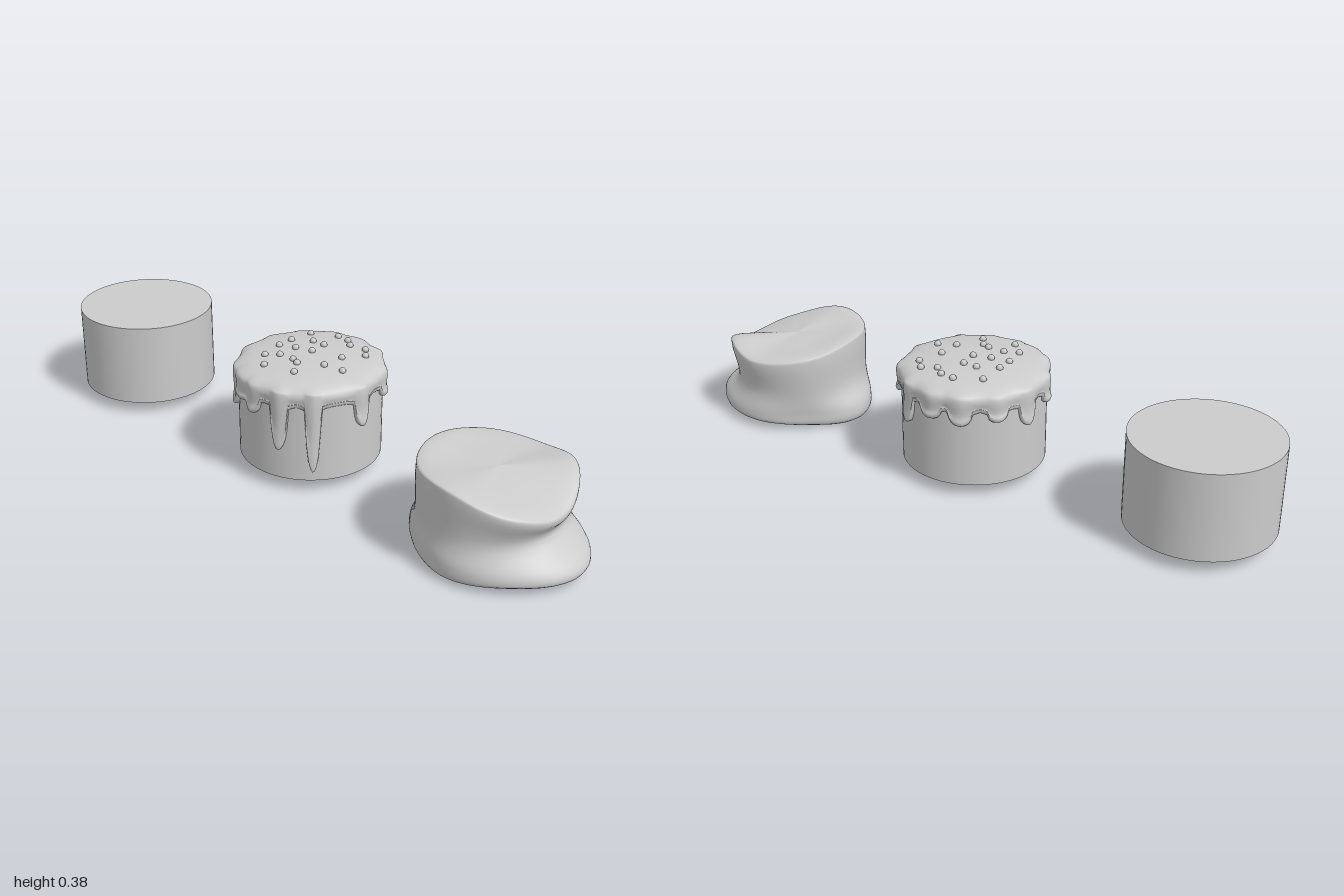
import * as THREE from 'three';

const material = new THREE.MeshStandardMaterial({ color: 0xcccccc });
const CAKE_R = 0.224, CAKE_Z = -0.025;
const rad = THREE.MathUtils.degToRad, lerp = THREE.MathUtils.lerp;

function addMesh(parent, name, geometry, x = 0, y = 0, z = 0) {
  const mesh = new THREE.Mesh(geometry, material);
  mesh.name = name;
  mesh.position.set(x, y, z);
  parent.add(mesh);
  return mesh;
}

// Catmull-Rom value of a list at position u; closed lists wrap round
function spline(list, u, closed = false) {
  const n = list.length, i = Math.floor(u), t = u - i;
  const p = k => list[closed ? ((k % n) + n) % n : Math.min(n - 1, Math.max(0, k))];
  const [a, b, c, d] = [p(i - 1), p(i), p(i + 1), p(i + 2)];
  return b + 0.5 * t * (c - a + t * (2 * a - 5 * b + 4 * c - d + t * (3 * (b - c) + d - a)));
}
// Eight values spaced round the circle: front, then towards +x
const around = (list, a) => spline(list, a / (Math.PI / 4), true);

// Lathe-like skin whose [radius, height] profile changes with the angle
function polarSkin(segments, steps, profileAt) {
  const positions = [], indices = [];
  let rows = 0;
  for (let i = 0; i < segments; i++) {
    const a = (i / segments) * Math.PI * 2;
    const profile = profileAt(a);
    const rs = profile.map(p => p[0]), ys = profile.map(p => p[1]);
    rows = (profile.length - 1) * steps;
    for (let j = 0; j <= rows; j++) {
      const r = Math.max(0, spline(rs, j / steps)), y = spline(ys, j / steps);
      positions.push(r * Math.sin(a), y, r * Math.cos(a));
    }
  }
  const at = (i, j) => (i % segments) * (rows + 1) + j;
  for (let i = 0; i < segments; i++) {
    for (let j = 0; j < rows; j++) {
      indices.push(at(i, j), at(i, j + 1), at(i + 1, j + 1));
      indices.push(at(i, j), at(i + 1, j + 1), at(i + 1, j));
    }
  }
  const geometry = new THREE.BufferGeometry();
  geometry.setAttribute('position', new THREE.Float32BufferAttribute(positions, 3));
  geometry.setIndex(indices);
  geometry.computeVertexNormals();
  return geometry;
}

function cakeBase() {
  return new THREE.CylinderGeometry(CAKE_R, CAKE_R, 0.272, 64);
}

// Icing drips: angle in degrees, lowest height, half width in degrees
const DRIPS = [
  [-43, 0.2, 11], [-25, 0.255, 14], [-7, 0.235, 8], [18, 0.14, 7], [44, 0.075, 6],
  [84, 0.2, 7], [119, 0.245, 9], [153, 0.2, 7], [178, 0.25, 9], [-158, 0.24, 9],
  [-130, 0.25, 8], [-104, 0.215, 8], [-75, 0.245, 9],
];

function icingProfile(a) {
  let bottom = 0.288 + 0.01 * Math.sin(3 * a - rad(120)), bulge = 0;
  for (const [angle, low, width] of DRIPS) {
    const d = Math.atan2(Math.sin(a - rad(angle)), Math.cos(a - rad(angle)));
    const u = Math.abs(d) / rad(width);
    const flare = 0.285 - 0.02 * Math.exp(-u * u * 0.7);
    const round = u < 1 ? Math.sqrt(1 - u * u) : 0;
    bottom = Math.min(bottom, flare, lerp(flare, low, round));
    bulge = Math.max(bulge, Math.exp(-u * u * 1.2));
  }
  const r = CAKE_R + 0.006 + 0.01 * bulge;
  return [
    [0, 0.364], [0.1, 0.361], [0.185, 0.35], [r - 0.011, 0.336], [r, 0.318],
    [r - 0.002, lerp(0.318, bottom, 0.55)],
    [r + 0.003 * bulge, bottom + 0.014], [r - 0.004, bottom + 0.002], [0.214, bottom + 0.006],
  ];
}

// Sprinkle positions (x, z) on the icing
const SPRINKLES = [
  [-.035, -.18], [.01, -.175], [.04, -.15], [.09, -.165], [.12, -.13], [-.115, -.14], [-.06, -.09],
  [-.015, -.09], [-.12, -.055], [-.12, 0], [-.065, -.015], [-.01, -.03], [.085, -.06], [.14, 0],
  [.08, .015], [-.015, .05], [.01, .06], [-.11, .075], [-.07, .05], [-.065, .125], [.04, .105],
];

// Squashed cake: radii and heights at eight angles
const RIM_R = [0.23, 0.232, 0.222, 0.222, 0.228, 0.232, 0.222, 0.228];
const WAIST_R = [0.225, 0.208, 0.2, 0.205, 0.216, 0.222, 0.222, 0.225];
const FOOT_R = [0.24, 0.25, 0.282, 0.25, 0.232, 0.215, 0.255, 0.232];
const RIM_Y = [0.28, 0.235, 0.21, 0.265, 0.245, 0.26, 0.28, 0.277];
const FOOT_Y = [0.008, 0.02, 0.018, 0.02, 0.02, 0.01, 0.002, 0.015];

function squashedProfile(a) {
  const top = around(RIM_R, a), waist = around(WAIST_R, a), foot = around(FOOT_R, a);
  const rim = around(RIM_Y, a), base = around(FOOT_Y, a);
  return [
    [0, 0.262], [top * 0.5, lerp(0.262, rim, 0.4)], [top * 0.93, rim], [top, rim - 0.025],
    [waist, 0.13], [foot, 0.055], [foot * 0.94, base], [foot * 0.5, lerp(base, 0.02, 0.5)], [0, 0.02],
  ];
}

export function createModel() {
  const model = new THREE.Group();
  model.name = 'cakes';

  // Plain cake
  addMesh(model, 'plainCake', cakeBase(), -0.776, 0.176, CAKE_Z);

  // Iced cake with drips and sprinkles
  const iced = new THREE.Group();
  iced.name = 'icedCake';
  model.add(iced);
  addMesh(iced, 'icedCakeBase', cakeBase(), -0.011, 0.176, CAKE_Z);
  addMesh(iced, 'icing', polarSkin(240, 4, icingProfile), -0.011, 0, CAKE_Z);
  const bead = new THREE.IcosahedronGeometry(0.011, 1);
  for (const [x, z] of SPRINKLES) {
    const r = Math.hypot(x + 0.011, z - CAKE_Z);
    addMesh(iced, 'sprinkle', bead, x, 0.368 - 0.4 * r * r, z);
  }

  // Squashed cake
  addMesh(model, 'squashedCake', polarSkin(96, 5, squashedProfile), 0.718, 0, 0.01);

  return model;
}
